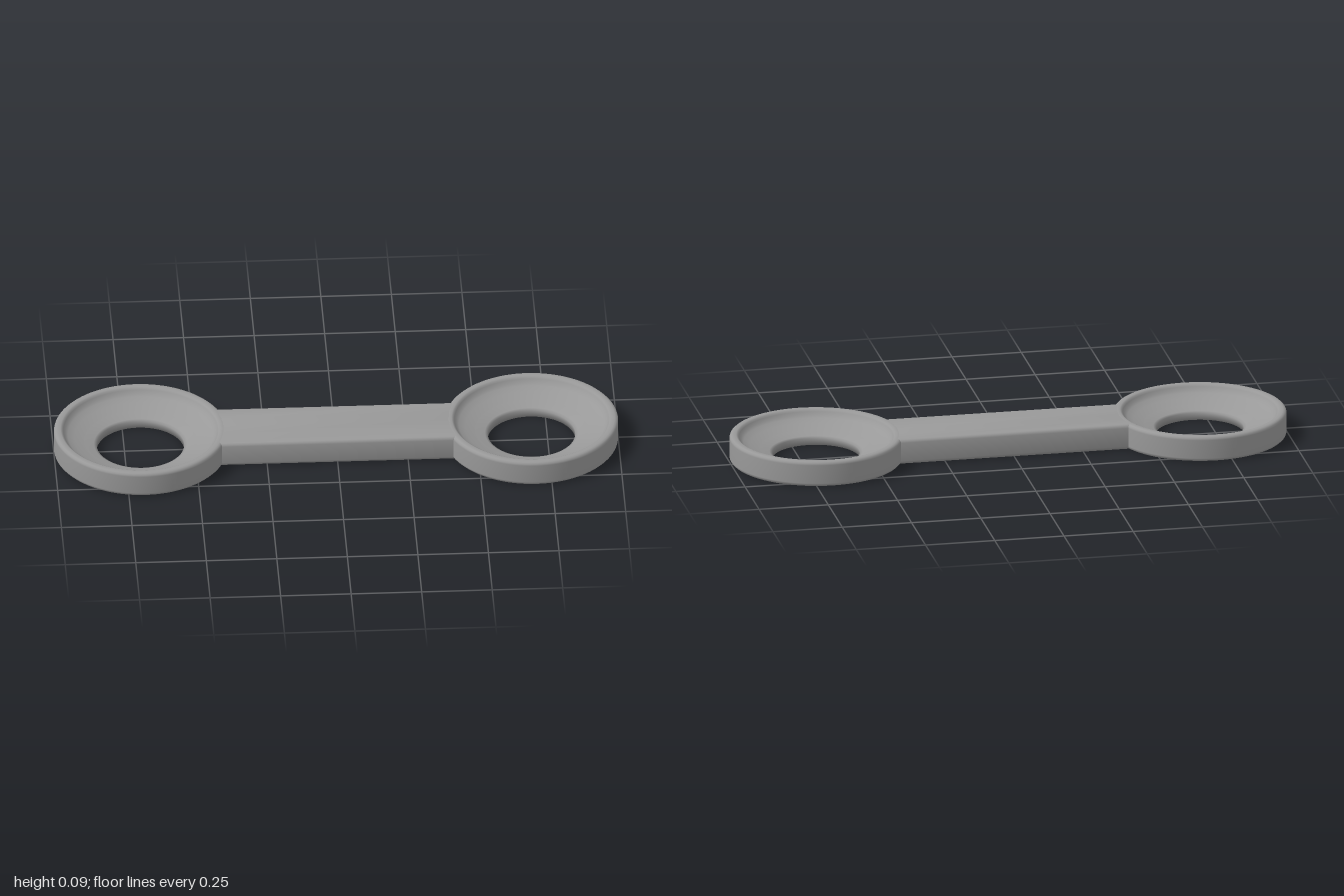
import * as THREE from 'three';
import { toCreasedNormals } from 'three/addons/utils/BufferGeometryUtils.js';

const HEIGHT = 0.093, RING_X = 0.693, RING_R = 0.307, HOLE_R = 0.155;
const BAR_HALF = 0.12, ROUND = 0.013;

// Points of a rounded corner, from angle a (in quarter turns) through one quarter turn
function corner(cx, cy, r, a) {
  return [0, 1, 2, 3].map(i => {
    const t = (a + i / 3) * Math.PI / 2;
    return new THREE.Vector2(cx + r * Math.cos(t), cy + r * Math.sin(t));
  });
}

// Dished ring, smooth all round: bowl, hole, flat underside, rounded outer wall, raised rim
function ringGeometry() {
  const p = (r, y) => new THREE.Vector2(r, y);
  const profile = [
    p(0.2, 0.042), p(0.165, 0.03), p(HOLE_R, 0.025), p(HOLE_R, 0),
    ...corner(RING_R - ROUND, ROUND, ROUND, -1),
    ...corner(RING_R - ROUND, HEIGHT - ROUND, ROUND, 0),
    p(0.283, HEIGHT), p(0.277, 0.09), p(0.273, 0.084), p(0.267, 0.074),
    p(0.257, 0.066), p(0.235, 0.055), p(0.2, 0.042),
  ];
  return new THREE.LatheGeometry(profile, 96);
}

// Bar with rounded long edges, its ends curved to merge into the ring rims
function barGeometry() {
  const w = BAR_HALF - ROUND, steps = 4, outline = [];
  const run = (dir, y) => {
    for (let i = 1; i < steps; i++) outline.push(new THREE.Vector2(dir * w * (2 * i / steps - 1), y));
  };
  run(1, 0);
  outline.push(...corner(w, ROUND, ROUND, -1), ...corner(w, HEIGHT - ROUND, ROUND, 0));
  run(-1, HEIGHT);
  outline.push(...corner(-w, HEIGHT - ROUND, ROUND, 1), ...corner(-w, ROUND, ROUND, 2));
  const geo = new THREE.ExtrudeGeometry(new THREE.Shape(outline), { depth: 1, bevelEnabled: false });
  geo.translate(0, 0, -0.5).rotateY(Math.PI / 2);
  const pos = geo.attributes.position;
  for (let i = 0; i < pos.count; i++) {
    const z = pos.getZ(i);
    pos.setX(i, Math.sign(pos.getX(i)) * (RING_X - Math.sqrt((RING_R - ROUND) ** 2 - z * z)));
  }
  return toCreasedNormals(geo, 0.65);
}

export function createModel() {
  const model = new THREE.Group();
  model.name = 'linkedRings';
  const material = new THREE.MeshStandardMaterial({ color: 0x999999 });
  const add = (name, geometry, x) => {
    const mesh = new THREE.Mesh(geometry, material);
    mesh.name = name;
    mesh.position.x = x;
    model.add(mesh);
  };

  const ring = ringGeometry();
  add('leftRing', ring, RING_X);
  add('rightRing', ring, -RING_X);
  add('connectingBar', barGeometry(), 0);
  return model;
}
